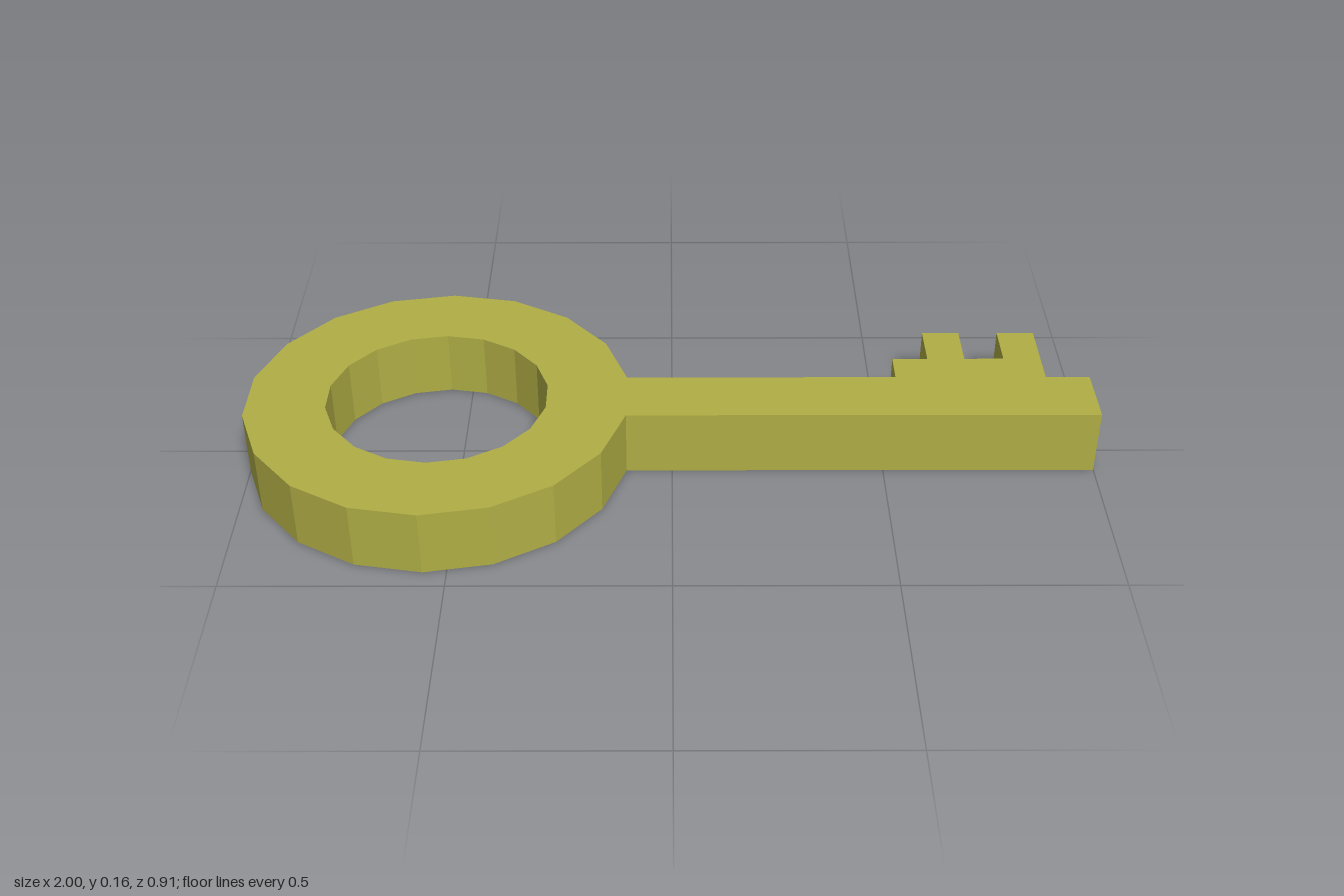
import * as THREE from 'three';

const THICKNESS = 0.16;
const SIDES = 18;
const BOW_X = -0.554;

// Corners of the ring, starting 10 degrees above the shaft axis
function ringPoints(radius) {
  return Array.from({ length: SIDES }, (_, i) => {
    const a = ((i + 0.5) / SIDES) * Math.PI * 2;
    return new THREE.Vector2(BOW_X + radius * Math.cos(a), radius * Math.sin(a));
  });
}

export function createModel() {
  const group = new THREE.Group();
  group.name = 'key';

  // Bow outline, continued along the shaft and around the bit teeth
  const half = 0.453 * Math.sin(Math.PI / SIDES);
  const step = 0.158;
  const tip = 0.273;
  const shaftAndBit = [
    [1, -half], [1, half],
    [0.895, half], [0.895, tip], [0.805, tip], [0.805, step],
    [0.71, step], [0.71, tip], [0.62, tip], [0.62, step],
    [0.535, step], [0.535, half],
  ].map(([x, y]) => new THREE.Vector2(x, y));
  const outline = new THREE.Shape([...ringPoints(0.453), ...shaftAndBit]);

  // Finger hole through the bow
  outline.holes.push(new THREE.Path(ringPoints(0.262).reverse()));

  // Lay the extrusion flat, with the teeth pointing to the back
  const geometry = new THREE.ExtrudeGeometry(outline, { depth: THICKNESS, bevelEnabled: false });
  geometry.rotateX(-Math.PI / 2);

  const material = new THREE.MeshStandardMaterial({ color: 0xb0ae45, flatShading: true });
  const body = new THREE.Mesh(geometry, material);
  body.name = 'keyBody';
  group.add(body);
  return group;
}
